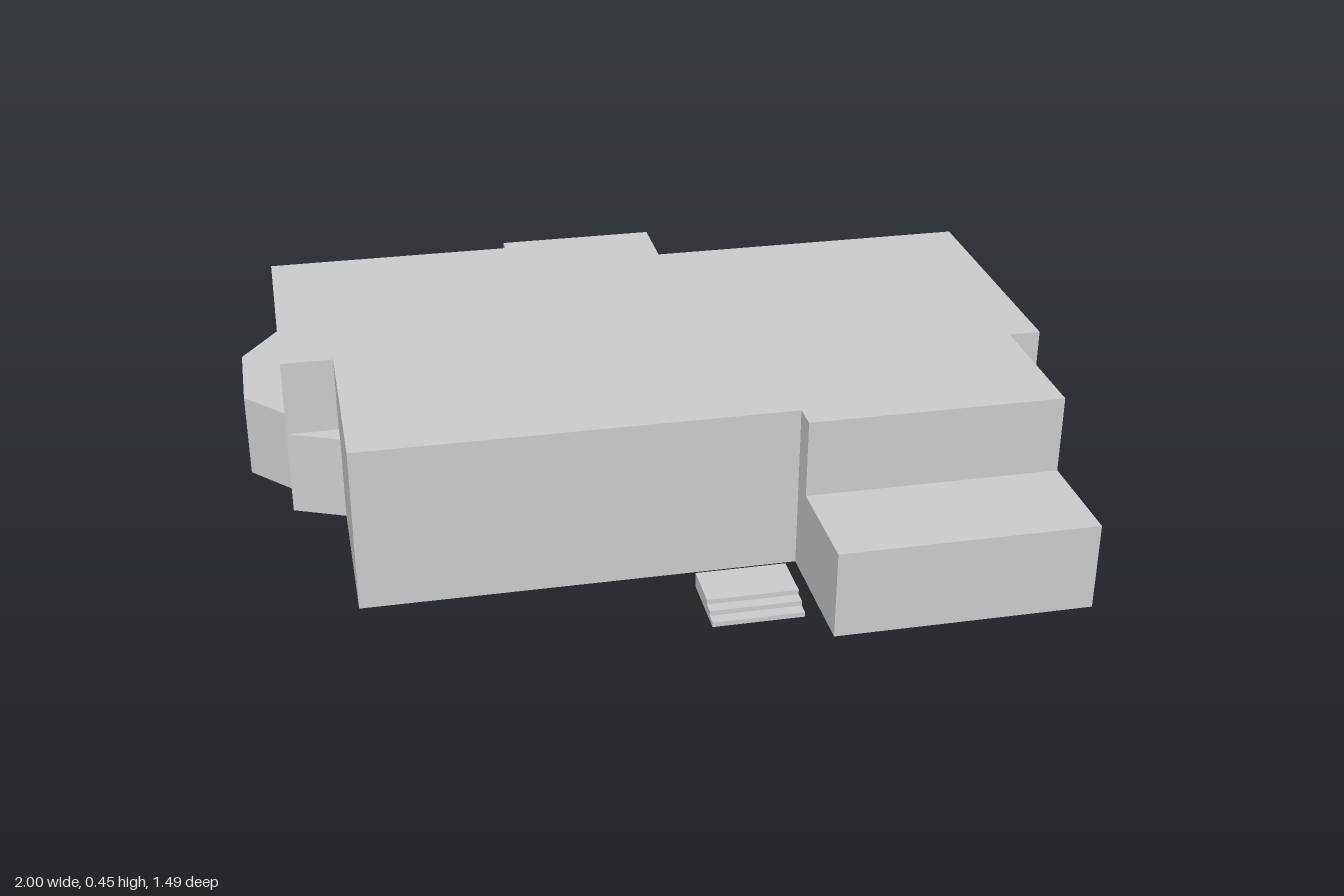
import * as THREE from 'three';

const GROUND = 0.04, MID = 0.26, ROOF = 0.455;

export function createModel() {
  const model = new THREE.Group();
  const material = new THREE.MeshStandardMaterial({ color: 0xcccccc, flatShading: true });

  // Upright block from an (x, z) footprint between two heights
  function block(name, footprint, bottom, top) {
    const shape = new THREE.Shape(footprint.map(([x, z]) => new THREE.Vector2(x, -z)));
    const geometry = new THREE.ExtrudeGeometry(shape, { depth: top - bottom, bevelEnabled: false });
    geometry.rotateX(-Math.PI / 2).translate(0, bottom, 0);
    const mesh = new THREE.Mesh(geometry, material);
    mesh.name = name;
    model.add(mesh);
  }

  // Full-height house body
  block('mainBody', [
    [-0.9, -0.71], [-0.255, -0.71], [-0.255, -0.748], [0.155, -0.748], [0.155, -0.58],
    [1, -0.58], [1, 0.11], [0.92, 0.11], [0.92, 0.475], [0.29, 0.475],
    [0.29, 0.41], [-0.77, 0.41], [-0.77, -0.085], [-0.9, -0.085],
  ], GROUND, ROOF);

  // Single-storey front wing
  block('frontWing', [[0.29, 0.47], [0.92, 0.47], [0.92, 0.745], [0.29, 0.745]], GROUND, MID);

  // Single-storey bays
  block('sideBay', [[-0.9, -0.71], [-1, -0.56], [-1, -0.31], [-0.9, -0.2]], GROUND, MID);
  block('backBay', [[0.395, -0.58], [0.495, -0.668], [0.79, -0.668], [0.895, -0.58]], GROUND, MID);

  // Low wedges filling the inner corners
  block('rightCornerWedge', [[-0.9, -0.085], [-0.77, -0.085], [-0.77, -0.03]], GROUND, MID);
  block('leftCornerWedge', [[0.92, 0.11], [1, 0.11], [0.92, 0.14]], GROUND, MID);
  block('backCornerWedge', [[0.155, -0.748], [0.18, -0.58], [0.155, -0.58]], GROUND, MID);

  // Entrance steps
  [0.593, 0.563, 0.533].forEach((front, i) => {
    const bottom = i * 0.0125;
    block('entranceStep' + (i + 1),
      [[0.04, 0.41], [0.265, 0.41], [0.265, front], [0.04, front]], bottom, bottom + 0.0125);
  });

  return model;
}
